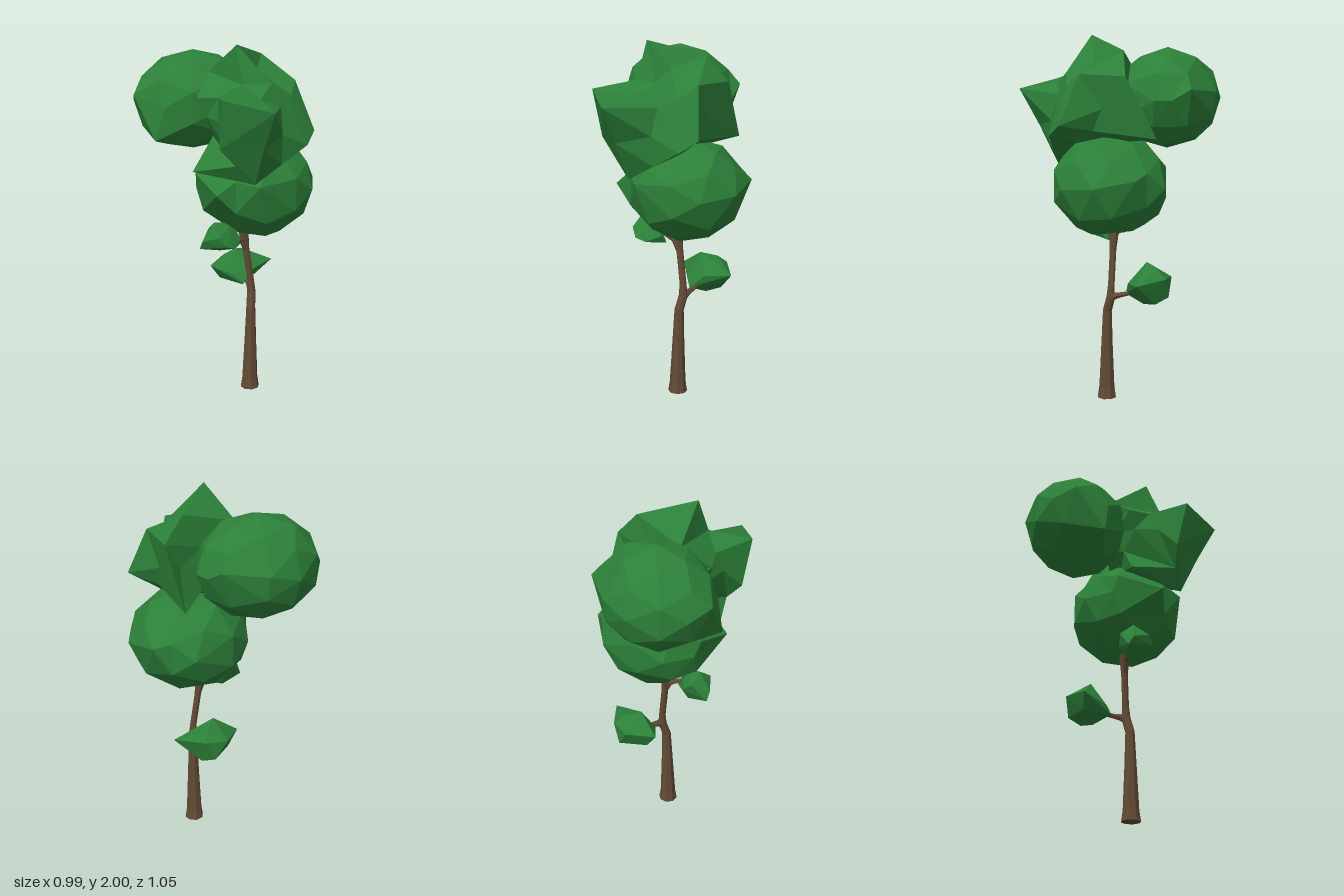
import * as THREE from 'three';
import { mergeVertices } from 'three/addons/utils/BufferGeometryUtils.js';
import { ConvexGeometry } from 'three/addons/geometries/ConvexGeometry.js';

const leafMat = new THREE.MeshStandardMaterial({ color: 0x2c8039, flatShading: true });
const barkMat = new THREE.MeshStandardMaterial({ color: 0x634a35, flatShading: true });

function faceted(name, geometry, material) {
  const g = geometry.index ? geometry.toNonIndexed() : geometry;
  g.computeVertexNormals();
  const mesh = new THREE.Mesh(g, material);
  mesh.name = name;
  return mesh;
}

// Low-poly ellipsoid of leaves; each tip pulls the nearest free vertex to an exact point.
function leafClump(name, centre, radii, tips, turn = 0) {
  let g = new THREE.IcosahedronGeometry(1, 1);
  g.deleteAttribute('normal');
  g.deleteAttribute('uv');
  g = mergeVertices(g, 1e-3);
  g.rotateY(turn);
  const c = new THREE.Vector3(...centre), r = new THREE.Vector3(...radii);
  const pos = g.attributes.position, moved = new Map();
  const p = new THREE.Vector3();
  for (const tip of tips) {
    const dir = new THREE.Vector3(...tip).sub(c).divide(r).normalize();
    let best = -1, bestDot = -2;
    for (let i = 0; i < pos.count; i++) {
      const dot = p.fromBufferAttribute(pos, i).dot(dir);
      if (dot > bestDot && !moved.has(i)) { best = i; bestDot = dot; }
    }
    moved.set(best, tip);
  }
  for (let i = 0; i < pos.count; i++) {
    if (moved.has(i)) pos.setXYZ(i, ...moved.get(i));
    else {
      p.fromBufferAttribute(pos, i).multiply(r).add(c);
      pos.setXYZ(i, p.x, p.y, p.z);
    }
  }
  return faceted(name, g, leafMat);
}

// Small coarse tuft: the convex skin around a few corner points.
function tuft(name, corners) {
  return faceted(name, new ConvexGeometry(corners.map(c => new THREE.Vector3(...c))), leafMat);
}

// Tapered limb through stations [x, y, z, radius], closed at both ends.
function limb(name, stations, sides = 8) {
  const pts = stations.map(s => new THREE.Vector3(s[0], s[1], s[2]));
  const verts = [], index = [], last = pts.length - 1;
  pts.forEach((p, i) => {
    const d = pts[Math.min(i + 1, last)].clone().sub(pts[Math.max(i - 1, 0)]).normalize();
    const u = new THREE.Vector3(1, 0, 0).addScaledVector(d, -d.x).normalize();
    const v = d.clone().cross(u);
    for (let j = 0; j < sides; j++) {
      const a = (j / sides) * Math.PI * 2, r = stations[i][3];
      const q = p.clone().addScaledVector(u, r * Math.cos(a)).addScaledVector(v, r * Math.sin(a));
      verts.push(q.x, q.y, q.z);
    }
  });
  const bottom = pts.length * sides, top = bottom + 1;
  verts.push(...pts[0].toArray(), ...pts[last].toArray());
  for (let j = 0; j < sides; j++) {
    const k = (j + 1) % sides;
    for (let i = 0; i < last; i++) {
      const a = i * sides + j, b = i * sides + k;
      index.push(a, b, b + sides, a, b + sides, a + sides);
    }
    index.push(bottom, k, j, top, last * sides + j, last * sides + k);
  }
  const g = new THREE.BufferGeometry();
  g.setAttribute('position', new THREE.Float32BufferAttribute(verts, 3));
  g.setIndex(index);
  return faceted(name, g, barkMat);
}

export function createModel() {
  const tree = new THREE.Group();
  tree.name = 'tree';

  // Trunk and its two side branches
  tree.add(limb('trunk', [
    [0.12, 0, 0.015, 0.054], [0.12, 0.06, 0.015, 0.045], [0.122, 0.3, 0.013, 0.034],
    [0.124, 0.5, 0.01, 0.026], [0.132, 0.58, -0.013, 0.025], [0.128, 0.65, -0.015, 0.019],
    [0.1, 0.84, -0.015, 0.019], [0.085, 0.94, -0.015, 0.028], [0.09, 1.05, -0.015, 0.02],
  ]));
  tree.add(limb('backBranch', [
    [0.13, 0.56, 0, 0.022], [0.132, 0.59, -0.04, 0.02], [0.13, 0.6, -0.08, 0.014], [0.12, 0.62, -0.15, 0.012],
  ], 6));
  tree.add(limb('rightBranch', [
    [0.1, 0.84, -0.012, 0.018], [0.07, 0.9, 0, 0.016], [0.02, 0.93, 0.03, 0.012], [-0.04, 0.95, 0.07, 0.01],
  ], 6));

  // Rounded crown at the upper back
  tree.add(leafClump('backCrown', [-0.155, 1.66, -0.24], [0.33, 0.275, 0.29], [
    [-0.495, 1.71, -0.15], [-0.12, 1.7, -0.525], [-0.4, 1.48, -0.01], [0.11, 1.72, -0.45],
    [0.18, 1.66, -0.27],
  ], 0.4));

  // Wide rounded crown below it
  tree.add(leafClump('lowerCrown', [0.15, 1.21, -0.02], [0.33, 0.28, 0.32], [
    [0.49, 1.23, -0.05], [0.41, 1.27, -0.25], [0.21, 1.21, -0.345], [0.36, 1.44, -0.03],
    [0.41, 1.05, 0.06], [-0.19, 1.3, 0.02], [-0.15, 1.09, 0.02], [0.19, 0.935, 0.07],
    [0.05, 0.93, -0.06], [0.1, 1.28, 0.31], [-0.12, 1.23, 0.25],
  ]));

  // Jagged crown at the upper front
  tree.add(leafClump('jaggedCrown', [0.1, 1.62, 0.1], [0.24, 0.23, 0.24], [
    [0.01, 2.0, 0.14], [0.12, 1.71, 0.525], [0.07, 1.3, 0.32], [0.43, 1.54, 0.16],
    [0.25, 1.47, -0.31], [0.31, 1.79, -0.16], [0.34, 1.8, 0.08], [0.37, 1.48, 0.24],
    [-0.12, 1.76, 0.4], [-0.19, 1.72, 0.08], [-0.1, 1.84, -0.05], [-0.22, 1.33, 0.1],
    [0.2, 1.92, -0.11], [0.22, 1.69, 0.25], [0.09, 1.51, 0.42], [-0.12, 1.5, 0.34],
    [0.22, 1.64, -0.12], [0.22, 1.39, 0.28], [-0.03, 1.4, 0.31], [0.13, 1.86, 0.08],
  ]));

  // Small tufts on the side branches
  tree.add(tuft('backTuft', [
    [0.3, 0.695, -0.22], [-0.07, 0.685, -0.2], [0.07, 0.78, -0.2], [0.1, 0.6, -0.09],
    [0.05, 0.65, -0.12], [0.13, 0.755, -0.28], [0.15, 0.71, -0.335], [0.03, 0.7, -0.33],
    [0.1, 0.6, -0.335], [0.12, 0.555, -0.2], [-0.01, 0.6, -0.22], [0.22, 0.62, -0.23],
    [0.18, 0.68, -0.13], [0.16, 0.57, -0.28],
  ]));
  tree.add(tuft('rightTuft', [
    [-0.18, 0.885, 0.07], [-0.17, 0.935, 0.1], [-0.1, 1.035, 0.08], [0, 1.02, 0.06],
    [0.05, 0.93, 0.08], [0.05, 0.885, 0.04], [-0.06, 0.855, 0.03], [-0.05, 0.92, 0.18],
    [-0.09, 0.97, 0.165], [0, 0.9, 0.15], [-0.06, 0.93, -0.01], [-0.12, 0.98, 0.01],
  ]));

  return tree;
}
